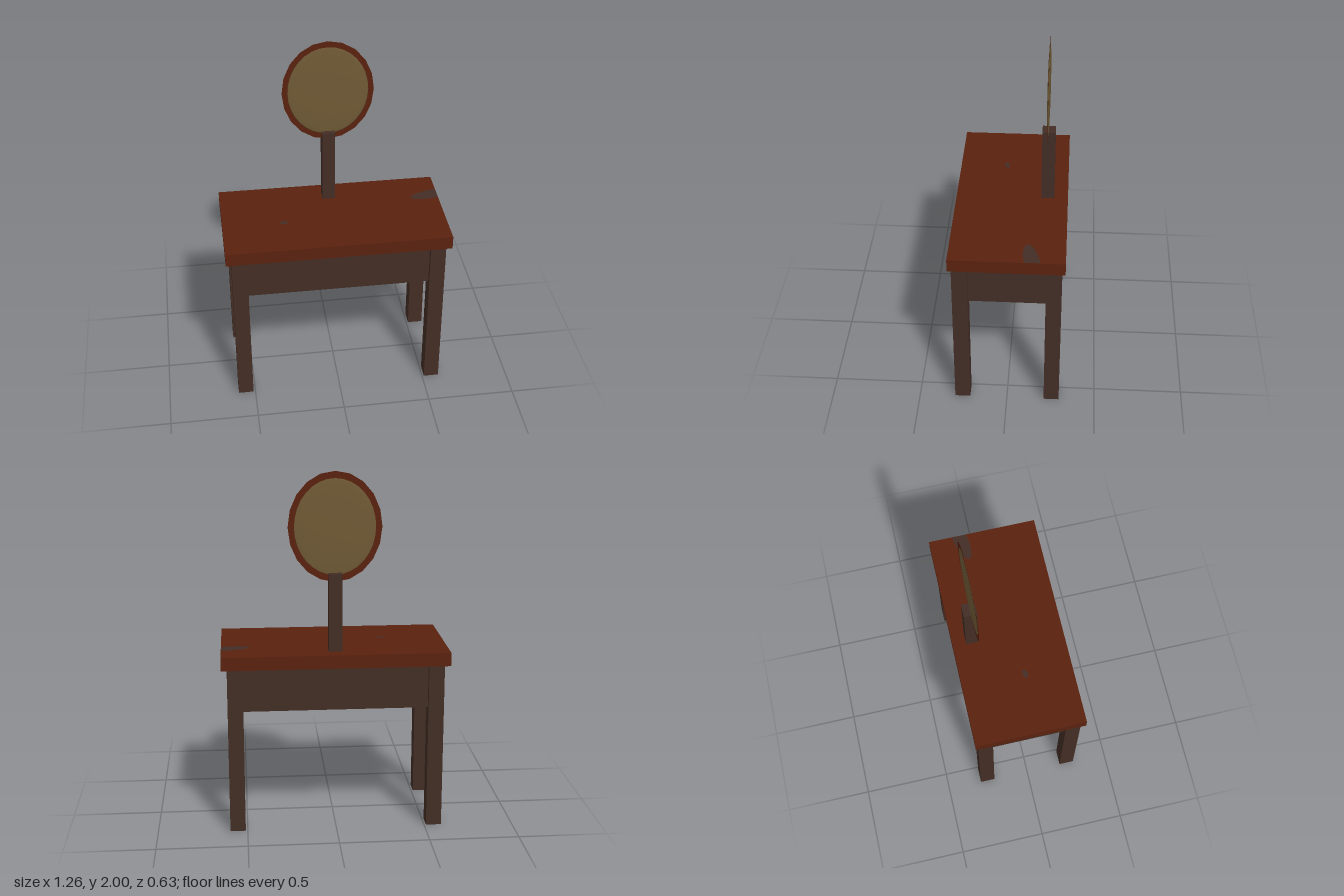
import * as THREE from 'three';

export function createModel() {
  const model = new THREE.Group();
  model.name = 'vanityTable';

  const material = (name, color, side = THREE.FrontSide) => {
    const m = new THREE.MeshStandardMaterial({ color, side });
    m.name = name;
    return m;
  };
  const darkWood = material('darkWood', 0x432e25);
  const redWood = material('redWood', 0x5a210f, THREE.DoubleSide);
  const bronze = material('bronzeGlass', 0x705a36);

  const add = (name, geometry, mat, x, y, z) => {
    const mesh = new THREE.Mesh(geometry, mat);
    mesh.name = name;
    mesh.position.set(x, y, z);
    model.add(mesh);
    return mesh;
  };
  const box = (name, mat, w, h, d, x, y, z) =>
    add(name, new THREE.BoxGeometry(w, h, d), mat, x, y, z);

  // Table: top slab, recessed apron and four square legs
  box('tableTop', redWood, 1.256, 0.075, 0.628, 0, 0.98, 0);
  box('apron', darkWood, 1.14, 0.248, 0.54, 0, 0.819, 0);
  for (const sx of [-1, 1]) {
    for (const sz of [-1, 1]) {
      const name = (sz > 0 ? 'front' : 'back') + (sx > 0 ? 'Left' : 'Right') + 'Leg';
      box(name, darkWood, 0.086, 0.943, 0.086, sx * 0.554, 0.4715, sz * 0.254);
    }
  }

  // Mirror post
  box('mirrorPost', darkWood, 0.073, 0.435, 0.073, 0, 1.2325, -0.2);

  // Flat oval frame
  const frame = add('mirrorFrame', new THREE.RingGeometry(0.75, 1, 20, 1), redWood, 0, 1.7, -0.196);
  frame.scale.set(0.255, 0.3, 1);

  // Lens-shaped oval glass
  const lens = new THREE.SphereGeometry(1, 32, 16);
  lens.rotateX(Math.PI / 2);
  lens.scale(0.224, 0.265, 0.008);
  add('mirrorGlass', lens, bronze, 0, 1.7, -0.195);

  // Thin dark inlays flush with the table top, outlined in x and z
  const inlay = (name, points) => {
    const shape = new THREE.Shape();
    shape.moveTo(points[0][0], -points[0][1]);
    shape.splineThru(points.slice(1).map(([x, z]) => new THREE.Vector2(x, -z)));
    shape.closePath();
    const geometry = new THREE.ShapeGeometry(shape, 4);
    geometry.rotateX(-Math.PI / 2);
    add(name, geometry, darkWood, 0, 1.0185, 0);
  };
  inlay('largeInlay', [[0.627, -0.095], [0.58, -0.086], [0.53, -0.085], [0.485, -0.093],
    [0.47, -0.113], [0.495, -0.138], [0.54, -0.158], [0.59, -0.173], [0.627, -0.18]]);
  inlay('smallInlay', [[-0.255, 0.04], [-0.265, 0.055], [-0.285, 0.062], [-0.303, 0.055],
    [-0.302, 0.042], [-0.28, 0.032], [-0.258, 0.034]]);

  return model;
}
